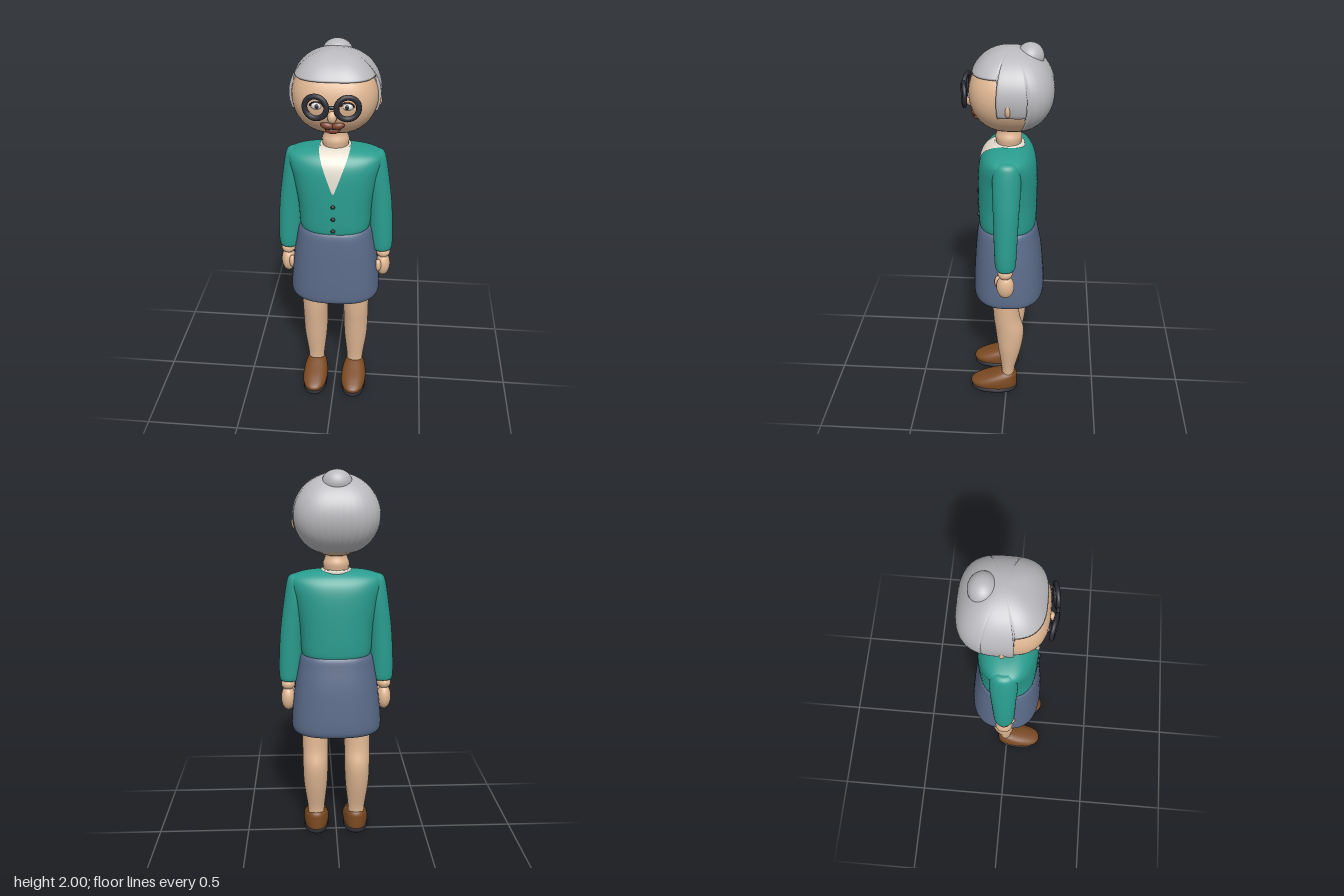
import * as THREE from 'three';

const mat = (name, hex) => {
  const m = new THREE.MeshStandardMaterial({ color: hex });
  m.name = name;
  return m;
};

// Catmull-Rom refinement of section rows [y, rx, rz, cx, cz]
function refine(rows, steps = 6) {
  const out = [];
  const at = (i) => rows[Math.max(0, Math.min(rows.length - 1, i))];
  for (let i = 0; i < rows.length - 1; i++) {
    for (let s = 0; s < steps; s++) {
      const t = s / steps;
      out.push(rows[i].map((_, k) => {
        const [a, b, c, d] = [at(i - 1)[k], at(i)[k], at(i + 1)[k], at(i + 2)[k]];
        return 0.5 * (2 * b + (c - a) * t + (2 * a - 5 * b + 4 * c - d) * t * t + (3 * b - a - 3 * c + d) * t * t * t);
      }));
    }
  }
  out.push(at(rows.length));
  return out;
}

// Superellipse radius at angle t
const polar = (t, n) => Math.pow(Math.abs(Math.sin(t)) ** n + Math.abs(Math.cos(t)) ** n, -1 / n);

// Grid of points to an indexed geometry; columns wrap when closed
function grid(points, closed) {
  const cols = points[0].length, pos = points.flat(2), idx = [];
  for (let i = 0; i < points.length - 1; i++) {
    for (let j = 0; j < (closed ? cols : cols - 1); j++) {
      const k = (j + 1) % cols, a = i * cols + j, b = i * cols + k;
      idx.push(a, b, a + cols, b, b + cols, a + cols);
    }
  }
  const g = new THREE.BufferGeometry();
  g.setAttribute('position', new THREE.Float32BufferAttribute(pos, 3));
  g.setIndex(idx);
  g.computeVertexNormals();
  return g;
}

// Closed body lofted upward through superellipse sections
function loft(rows, n = 2, seg = 48) {
  const cap = (r) => [r[0], 0.0005, 0.0005, r[3], r[4]];
  const all = [cap(rows[0]), ...rows, cap(rows[rows.length - 1])];
  return grid(all.map(([y, rx, rz, cx, cz]) => Array.from({ length: seg }, (_, j) => {
    const t = (j / seg) * Math.PI * 2, p = polar(t, n);
    return [cx + rx * p * Math.sin(t), y, cz + rz * p * Math.cos(t)];
  })), true);
}

export function createModel() {
  const model = new THREE.Group();
  const skin = mat('skin', 0xe0b793), hairGrey = mat('hair grey', 0xb9b9bd);
  const teal = mat('cardigan teal', 0x2a9d8f), cream = mat('blouse cream', 0xe9e1d3);
  const blue = mat('skirt blue', 0x5a6a88), brown = mat('shoe brown', 0x7b4a22);
  const dark = mat('dark', 0x2b2b34), lip = mat('lip brown', 0x7d402a), white = mat('eye white', 0xe4e4e2);
  hairGrey.side = THREE.DoubleSide;
  cream.side = THREE.DoubleSide;

  const add = (name, geo, m, parent = model) => {
    const mesh = new THREE.Mesh(geo, m);
    mesh.name = name;
    parent.add(mesh);
    return mesh;
  };
  const ball = (name, m, [x, y, z], [rx, ry, rz], parent) => {
    const b = add(name, new THREE.SphereGeometry(1, 28, 18), m, parent);
    b.position.set(x, y, z);
    b.scale.set(rx, ry, rz);
    return b;
  };

  // Head: rounded-square in plan, oval in elevation
  const headRows = [];
  for (let i = 1; i < 28; i++) {
    const a = Math.PI * (1 - i / 28), s = Math.sin(a);
    headRows.push([1.771 + 0.2 * Math.cos(a), 0.209 * s, 0.203 * s, 0, -0.017]);
  }
  add('head', loft(headRows, 2.8, 64), skin);

  // Hair: shell from crown down to a stepped hairline, with an inward lip
  const hairline = (t) => (t < 1.28 ? 1.875 : t < 1.98 ? 1.70 : 1.60 + 0.006 * Math.sin(t * 40));
  const hair = [], COLS = 160, ROWS = 26, CY = 1.777, RY = 0.205;
  for (let i = 0; i <= ROWS + 1; i++) {
    const row = [];
    for (let j = 0; j < COLS; j++) {
      const t = (j / COLS) * Math.PI * 2;
      const end = Math.acos((hairline(Math.min(t, Math.PI * 2 - t)) - CY) / RY);
      const a = Math.max(0.002, end * Math.min(1, i / ROWS));
      const k = (i > ROWS ? 0.92 : 1) * Math.sin(a) * polar(t, 2.9);
      row.push([0.221 * k * Math.sin(t), CY + RY * Math.cos(a), -0.017 + 0.21 * k * Math.cos(t)]);
    }
    hair.push(row);
  }
  add('hair', grid(hair.reverse(), true), hairGrey);
  ball('hairBun', hairGrey, [0, 1.935, -0.106], [0.075, 0.065, 0.066]);

  // Face
  ball('nose', skin, [0, 1.716, 0.182], [0.022, 0.03, 0.024]);
  for (const s of [1, -1]) {
    ball('ear', skin, [s * 0.206, 1.74, -0.012], [0.019, 0.035, 0.015]);
    ball('eye', white, [s * 0.071, 1.768, 0.172], [0.029, 0.019, 0.018]);
    ball('pupil', dark, [s * 0.07, 1.768, 0.184], [0.011, 0.012, 0.009]);
    const lid = add('eyelid', new THREE.TorusGeometry(0.03, 0.004, 8, 20, Math.PI), dark);
    lid.position.set(s * 0.071, 1.77, 0.184);
    lid.scale.y = 0.65;
    ball('upperLip', lip, [s * 0.024, 1.665, 0.157], [0.034, 0.019, 0.02]).rotation.z = s * 0.2;
  }
  ball('lowerLip', lip, [0, 1.639, 0.149], [0.036, 0.018, 0.02]);
  ball('mouthOpening', dark, [0, 1.654, 0.163], [0.03, 0.005, 0.012]);

  // Glasses: two thick round rims, angled back from the bridge
  const glasses = new THREE.Group();
  glasses.name = 'glasses';
  model.add(glasses);
  for (const s of [1, -1]) {
    const rim = add('rim', new THREE.TorusGeometry(0.052, 0.0135, 12, 40), dark, glasses);
    rim.position.set(s * 0.074, 1.77, 0.204);
    rim.rotation.y = s * 0.19;
    rim.scale.z = 0.8;
  }
  ball('bridge', dark, [0, 1.775, 0.214], [0.02, 0.009, 0.009], glasses);

  // Neck
  add('neck', loft(refine([
    [1.46, 0.06, 0.06, 0, -0.005], [1.5, 0.064, 0.062, 0, -0.005], [1.535, 0.067, 0.066, 0, -0.005],
    [1.57, 0.056, 0.056, 0, -0.005], [1.62, 0.055, 0.055, 0, -0.005]])), skin);

  // Cardigan body
  const N = 2.5;
  const torso = refine([
    [1.05, 0.172, 0.135, 0, 0], [1.075, 0.184, 0.148, 0, 0], [1.2, 0.192, 0.152, 0, 0], [1.34, 0.215, 0.15, 0, 0],
    [1.42, 0.235, 0.138, 0, 0], [1.465, 0.232, 0.113, 0, 0], [1.49, 0.17, 0.08, 0, 0], [1.5, 0.08, 0.05, 0, 0]]);
  add('cardigan', loft(torso, N, 64), teal);

  // Blouse: V-shaped panel lying on the cardigan front, and a collar round the neck
  const panel = torso.filter((r) => r[0] >= 1.285).map(([y, rx, rz]) => {
    const w = Math.max(0.001, 0.36 * (y - 1.285));
    return Array.from({ length: 13 }, (_, j) => {
      const x = w * (j / 6 - 1);
      return [x, y + 0.002, rz * Math.pow(1 - Math.min(1, Math.abs(x / rx)) ** N, 1 / N) + 0.004];
    });
  });
  add('blousePanel', grid(panel, false), cream);
  add('blouseCollar', loft([[1.47, 0.08, 0.08, 0, -0.008], [1.504, 0.078, 0.076, 0, -0.008]]), cream);
  for (const y of [1.225, 1.155, 1.085]) ball('button', dark, [0, y, 0.154], [0.011, 0.011, 0.008]);

  // Skirt
  add('skirt', loft(refine([
    [0.63, 0.2, 0.155, 0, -0.008], [0.645, 0.233, 0.182, 0, -0.008], [0.7, 0.239, 0.189, 0, -0.008],
    [0.88, 0.22, 0.176, 0, -0.005], [1.0, 0.2, 0.16, 0, 0], [1.045, 0.19, 0.151, 0, 0], [1.062, 0.178, 0.14, 0, 0]]),
  2.6, 64), blue);

  // Limbs, mirrored
  for (const s of [1, -1]) {
    add('sleeve', loft(refine([
      [0.905, 0.038, 0.036, s * 0.25, -0.003], [0.918, 0.054, 0.051, s * 0.247, -0.003],
      [1.0, 0.06, 0.057, s * 0.243, -0.003], [1.18, 0.06, 0.063, s * 0.232, -0.005],
      [1.34, 0.058, 0.07, s * 0.213, -0.006], [1.43, 0.052, 0.066, s * 0.204, -0.006],
      [1.465, 0.038, 0.05, s * 0.206, -0.006], [1.478, 0.018, 0.025, s * 0.206, -0.006]])), teal);
    ball('wrist', skin, [s * 0.257, 0.884, -0.002], [0.037, 0.032, 0.038]);
    ball('hand', skin, [s * 0.258, 0.805, -0.003], [0.038, 0.068, 0.046]);
    ball('thumb', skin, [s * 0.232, 0.815, 0.035], [0.018, 0.036, 0.02]);

    add('leg', loft(refine([
      [0.09, 0.043, 0.036, s * 0.113, -0.008], [0.16, 0.047, 0.039, s * 0.113, -0.009],
      [0.3, 0.064, 0.065, s * 0.115, -0.017], [0.42, 0.069, 0.078, s * 0.115, -0.017],
      [0.52, 0.07, 0.072, s * 0.115, 0], [0.66, 0.072, 0.07, s * 0.115, 0.008]])), skin);
    add('shoe', loft(refine([
      [0.02, 0.066, 0.128, s * 0.112, 0.071], [0.05, 0.071, 0.131, s * 0.112, 0.073],
      [0.08, 0.066, 0.104, s * 0.112, 0.047], [0.105, 0.055, 0.07, s * 0.112, 0.014],
      [0.122, 0.04, 0.044, s * 0.112, -0.004], [0.127, 0.028, 0.03, s * 0.112, -0.006]]), 2.3), brown);
    add('sole', loft([[0, 0.066, 0.128, s * 0.112, 0.073], [0.004, 0.069, 0.131, s * 0.112, 0.073],
      [0.026, 0.069, 0.131, s * 0.112, 0.073]], 2.3), dark);
  }
  return model;
}
